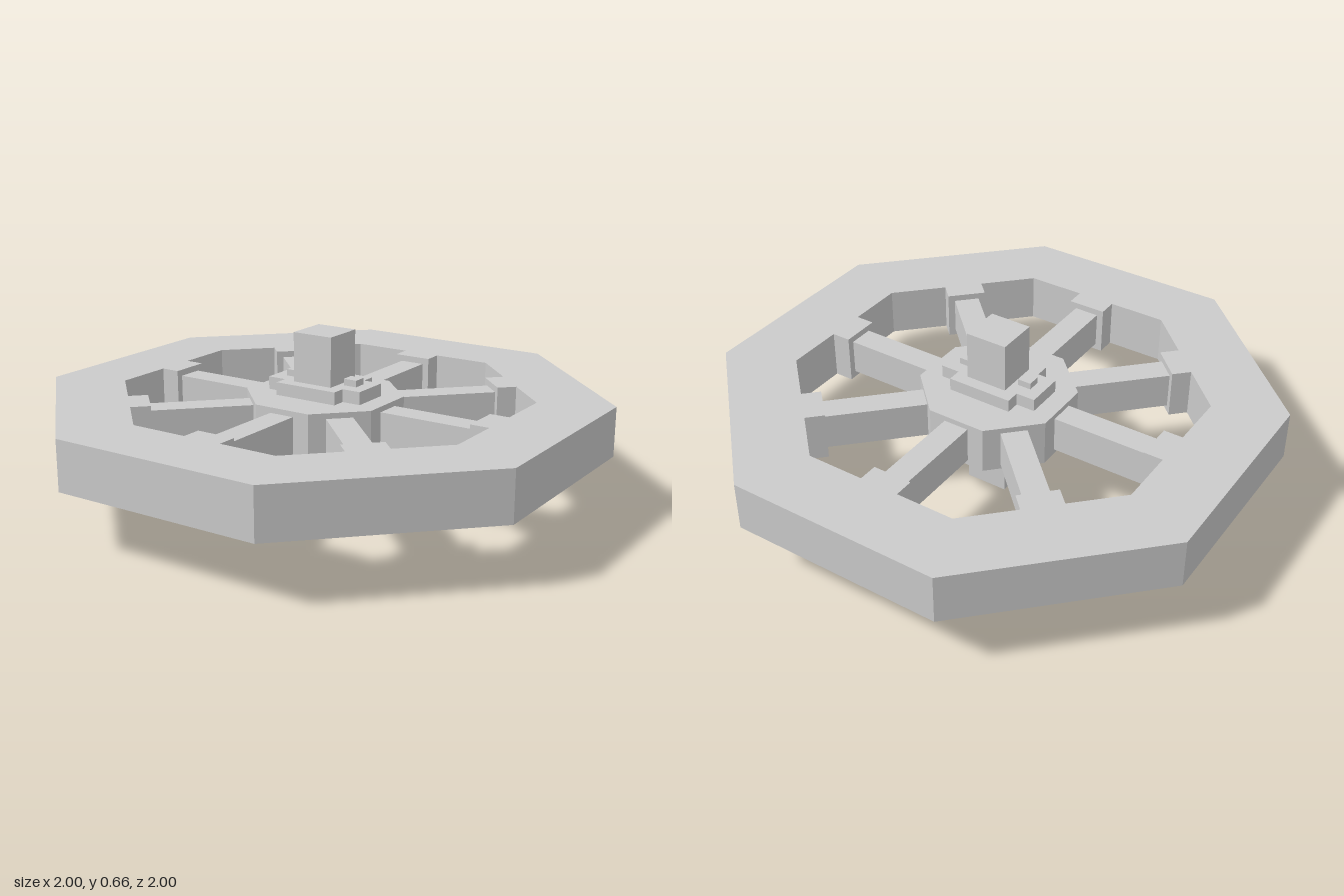
import * as THREE from 'three';

const material = new THREE.MeshStandardMaterial({ color: 0xcccccc, flatShading: true });
const MID = 0.33; // height of the wheel's middle plane

// Corner points of an octagon with flat sides facing the axes
function octagon(apothem) {
  const r = apothem / Math.cos(Math.PI / 8);
  return Array.from({ length: 8 }, (_, i) => {
    const a = (i + 0.5) * Math.PI / 4;
    return new THREE.Vector2(r * Math.cos(a), r * Math.sin(a));
  });
}

// Opening of the rim: an octagon with a socket block jutting in on each side
function socketOutline(apothem, blockReach, halfWidth) {
  const corner = apothem * Math.tan(Math.PI / 8);
  const side = [
    [apothem, -corner], [apothem, -halfWidth], [blockReach, -halfWidth],
    [blockReach, halfWidth], [apothem, halfWidth],
  ];
  const points = [];
  for (let i = 0; i < 8; i++) {
    for (const [x, y] of side) {
      points.push(new THREE.Vector2(x, y).rotateAround(new THREE.Vector2(), i * Math.PI / 4));
    }
  }
  return points;
}

// Flat plate lying in the wheel plane, centred on the middle height
function plate(name, shape, height) {
  const geometry = new THREE.ExtrudeGeometry(shape, { depth: height, bevelEnabled: false });
  geometry.translate(0, 0, -height / 2).rotateX(-Math.PI / 2);
  const mesh = new THREE.Mesh(geometry, material);
  mesh.name = name;
  mesh.position.y = MID;
  return mesh;
}

function box(name, w, h, d, x = 0) {
  const mesh = new THREE.Mesh(new THREE.BoxGeometry(w, h, d), material);
  mesh.name = name;
  mesh.position.set(x, MID, 0);
  return mesh;
}

export function createModel() {
  const wheel = new THREE.Group();
  wheel.name = 'wheel';

  // Rim with spoke sockets
  const rimShape = new THREE.Shape(octagon(1));
  rimShape.holes.push(new THREE.Path(socketOutline(0.735, 0.66, 0.077)));
  wheel.add(plate('rim', rimShape, 0.19));

  // Hub
  wheel.add(plate('hub', new THREE.Shape(octagon(0.28)), 0.182));

  // Spokes, running from inside the hub to the sockets
  for (let i = 0; i < 8; i++) {
    const spoke = new THREE.Group();
    spoke.name = 'spoke';
    spoke.add(box('spokeBar', 0.43, 0.14, 0.1, 0.465));
    spoke.rotation.y = i * Math.PI / 4;
    wheel.add(spoke);
  }

  // Stepped hub plate, showing above and below the hub
  const quarter = [[0.205, 0.075], [0.13, 0.075], [0.13, 0.13]];
  const mirrored = (sx, sy) => quarter.map(([x, y]) => new THREE.Vector2(x * sx, y * sy));
  const cross = [
    ...mirrored(1, 1), ...mirrored(-1, 1).reverse(),
    ...mirrored(-1, -1), ...mirrored(1, -1).reverse(),
  ];
  wheel.add(plate('hubPlate', new THREE.Shape(cross), 0.28));

  // Pegs through the hub plate
  for (const s of [-1, 1]) wheel.add(box('peg', 0.054, 0.33, 0.05, s * 0.13));

  // Axle
  wheel.add(box('axle', 0.166, 0.66, 0.166));

  return wheel;
}
